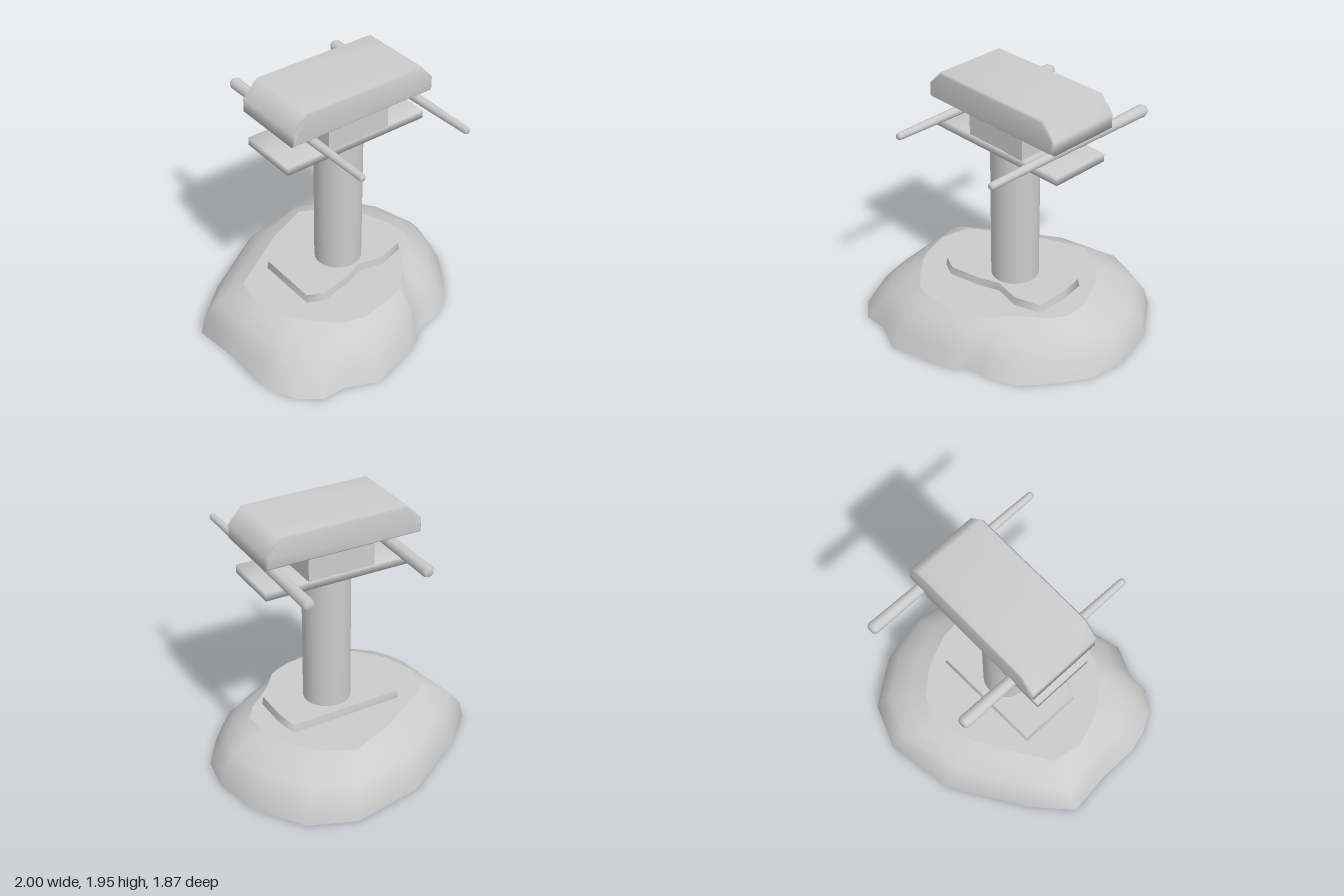
import * as THREE from 'three';
import { mergeVertices } from 'three/addons/utils/BufferGeometryUtils.js';

const mat = new THREE.MeshStandardMaterial({ color: 0xcccccc });
const openMat = new THREE.MeshStandardMaterial({ color: 0xcccccc, side: THREE.DoubleSide });

// Joins vertices so that shading flows softly over the edges
function soften(geo) {
  geo.deleteAttribute('uv');
  geo.deleteAttribute('normal');
  const merged = mergeVertices(geo, 1e-4);
  merged.computeVertexNormals();
  return merged;
}

// Closed wall through rings of [x, y, z] points, listed bottom to top
function loft(rings) {
  const n = rings[0].length, index = [];
  for (let j = 0; j < rings.length - 1; j++) {
    for (let i = 0; i < n; i++) {
      const k = (i + 1) % n, a = j * n + i, c = j * n + k;
      index.push(a, a + n, c, a + n, c + n, c);
    }
  }
  const geo = new THREE.BufferGeometry();
  geo.setAttribute('position', new THREE.Float32BufferAttribute(rings.flat(2), 3));
  geo.setIndex(index);
  geo.computeVertexNormals();
  return geo;
}

// Level face inside an outline of [x, z] points
function level(outline, y, hole) {
  const toPoints = (pts) => pts.map(([x, z]) => new THREE.Vector2(x, -z));
  const shape = new THREE.Shape(toPoints(outline));
  if (hole) shape.holes.push(new THREE.Path(toPoints(hole)));
  return new THREE.ShapeGeometry(shape).rotateX(-Math.PI / 2).translate(0, y, 0);
}

export function createModel() {
  const model = new THREE.Group();
  const add = (name, geo, x = 0, y = 0, z = 0, material = mat, parent = model) => {
    const mesh = new THREE.Mesh(geo, material);
    mesh.name = name;
    mesh.position.set(x, y, z);
    parent.add(mesh);
    return mesh;
  };

  // Mound: foot point and matching rim point, going round
  const spokes = [
    [0.33, -0.94, 0.17, -0.63], [0.67, -0.81, 0.38, -0.53], [0.91, -0.48, 0.54, -0.34],
    [1.0, -0.12, 0.64, -0.1], [0.96, 0.15, 0.66, 0.08], [0.8, 0.4, 0.58, 0.2],
    [0.66, 0.57, 0.48, 0.28], [0.48, 0.66, 0.38, 0.37], [0.36, 0.68, 0.33, 0.43],
    [0.24, 0.72, 0.26, 0.52], [0.22, 0.77, 0.19, 0.56], [0.08, 0.83, 0.08, 0.6],
    [-0.28, 0.93, -0.18, 0.64], [-0.52, 0.83, -0.33, 0.6], [-0.69, 0.83, -0.42, 0.53],
    [-0.84, 0.71, -0.5, 0.45], [-0.92, 0.56, -0.58, 0.36], [-0.96, 0.4, -0.64, 0.26],
    [-0.96, 0.1, -0.71, 0.05], [-1.0, -0.25, -0.66, -0.18], [-0.74, -0.49, -0.41, -0.34],
    [-0.2, -0.84, -0.15, -0.5],
  ];
  const slope = [[0, 0], [0.2, 0.13], [0.46, 0.23], [0.75, 0.3], [1, 0.35]];
  const rings = slope.map(([t, y]) => spokes.map(([ox, oz, ix, iz]) => {
    const f = Math.pow(t, iz < 0 ? 1.5 : 1);
    return [ox + (ix - ox) * f, y, oz + (iz - oz) * f];
  }));
  const rim = spokes.map((s) => [s[2], s[3]]);

  // Raised footing with an uneven front edge, hollow underneath
  const footing = [
    [-0.42, -0.22], [0.47, -0.24], [0.5, -0.05], [0.5, 0.2], [0.3, 0.26],
    [0.1, 0.22], [-0.06, 0.28], [-0.3, 0.33], [-0.42, 0.27],
  ];
  const footingTop = footing.map(([x, z]) => [x * 0.98, z * 0.97]);

  const mound = new THREE.Group();
  mound.name = 'mound';
  model.add(mound);
  add('moundSlope', loft(rings), 0, 0, 0, openMat, mound);
  add('moundTop', level(rim, 0.35, footing), 0, 0, 0, openMat, mound);
  const footingWall = loft([
    footing.map(([x, z]) => [x, 0.35, z]),
    footingTop.map(([x, z]) => [x, 0.41, z]),
  ]);
  add('footingWall', footingWall, 0, 0, 0, openMat, mound);
  add('footingTop', level(footingTop, 0.41), 0, 0, 0, openMat, mound);

  // Pole, plate and neck
  add('pole', new THREE.CylinderGeometry(0.175, 0.175, 1.08, 32), 0.058, 0.945, 0.015);
  add('plate', soften(new THREE.BoxGeometry(1.17, 0.06, 0.46, 4, 1, 2)), 0.065, 1.51, -0.01);
  add('neck', new THREE.BoxGeometry(0.51, 0.2, 0.46), 0.075, 1.635, -0.01);

  // Head block with sloped ends and slightly eased sides
  const b = 0.015;
  const head = new THREE.Shape([
    [-0.52 + b, 1.73 + b], [0.67 - b, 1.73 + b], [0.67 - b, 1.825],
    [0.56, 1.95 - b], [-0.4, 1.95 - b], [-0.52 + b, 1.825],
  ].map((p) => new THREE.Vector2(...p)));
  const headGeo = new THREE.ExtrudeGeometry(head, {
    depth: 0.58 - 2 * b, steps: 3, bevelEnabled: true,
    bevelSize: b, bevelThickness: b, bevelSegments: 1,
  });
  add('head', soften(headGeo), 0, 0, -0.295 + b);

  // Tapered rods, thin end forward, with blunt tips
  const rodProfile = [
    [0, -0.72], [0.033, -0.72], [0.045, -0.7], [0.026, 0.735], [0.02, 0.75], [0, 0.75],
  ].map((p) => new THREE.Vector2(...p));
  const rodGeo = new THREE.LatheGeometry(rodProfile, 10).rotateX(Math.PI / 2);
  add('rightRod', rodGeo, -0.31, 1.67, 0);
  add('leftRod', rodGeo, 0.58, 1.67, 0);

  return model;
}
